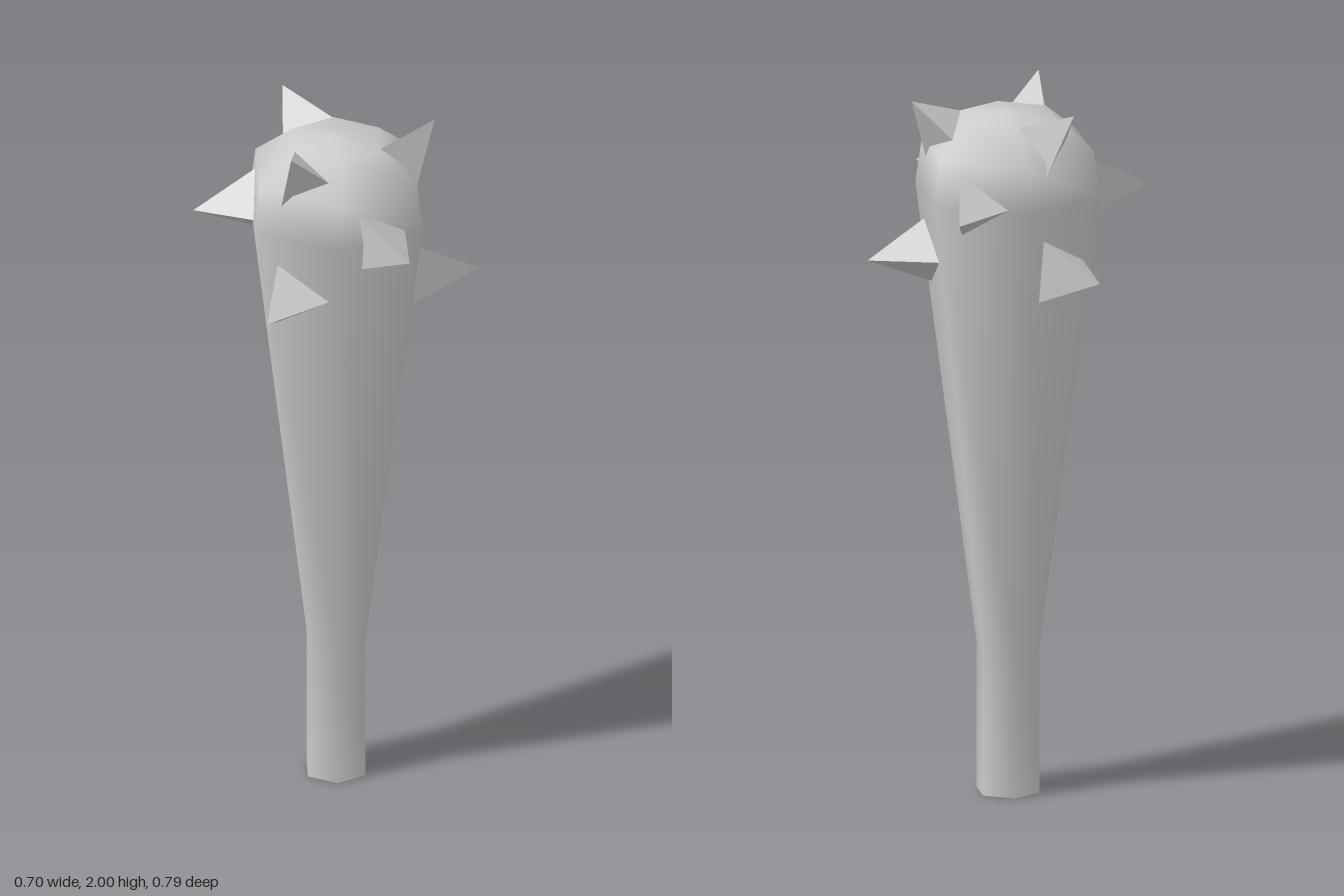
import * as THREE from 'three';

const material = new THREE.MeshStandardMaterial({ color: 0xcccccc });
const spikeMaterial = new THREE.MeshStandardMaterial({ color: 0xcccccc, flatShading: true });

// Three-sided spike from its tip and base corners; the base is pushed into the wood.
function spikeGeometry(tip, base, sink = 1.15) {
  const t = new THREE.Vector3(...tip);
  const corners = base.map((p) => new THREE.Vector3(...p).sub(t).multiplyScalar(sink).add(t));
  const points = [];
  for (let i = 0; i < 3; i++) points.push(t, corners[i], corners[(i + 1) % 3]);
  points.push(corners[2], corners[1], corners[0]);
  const geometry = new THREE.BufferGeometry().setFromPoints(points);
  geometry.computeVertexNormals();
  return geometry;
}

export function createModel() {
  const model = new THREE.Group();

  // Six-sided body: straight grip, widening shaft, domed head
  const profile = [
    [0.092, 0], [0.092, 0.42], [0.27, 1.73], [0.25, 1.86], [0.14, 1.945], [0, 1.965],
  ].map(([r, y]) => new THREE.Vector2(r, y));
  const body = new THREE.Mesh(new THREE.LatheGeometry(profile, 6, Math.PI / 2), material);
  body.name = 'clubBody';
  model.add(body);

  // Flat end of the grip
  const end = new THREE.Mesh(new THREE.CircleGeometry(0.092, 6), material);
  end.rotation.x = Math.PI / 2;
  end.name = 'gripEnd';
  model.add(end);

  // Spikes are described facing +z, then turned around the head in rings of three
  const sideSpike = spikeGeometry(
    [-0.013, -0.005, 0.395],
    [[0.078, 0.005, 0.23], [-0.067, 0.09, 0.225], [-0.06, -0.08, 0.225]],
  );
  const topSpike = spikeGeometry(
    [0, 2, 0.273],
    [[0.065, 1.9, 0.17], [-0.067, 1.945, 0.118], [-0.056, 1.825, 0.222]],
  );
  const rings = [
    { name: 'lowerSpike', geometry: sideSpike, y: 1.55, start: 60 },
    { name: 'middleSpike', geometry: sideSpike, y: 1.735, start: 0 },
    { name: 'upperSpike', geometry: topSpike, y: 0, start: 60 },
  ];
  for (const { name, geometry, y, start } of rings) {
    for (let i = 0; i < 3; i++) {
      const spike = new THREE.Mesh(geometry, spikeMaterial);
      spike.position.y = y;
      spike.rotation.y = THREE.MathUtils.degToRad(start + i * 120);
      spike.name = `${name}${i + 1}`;
      model.add(spike);
    }
  }
  return model;
}
